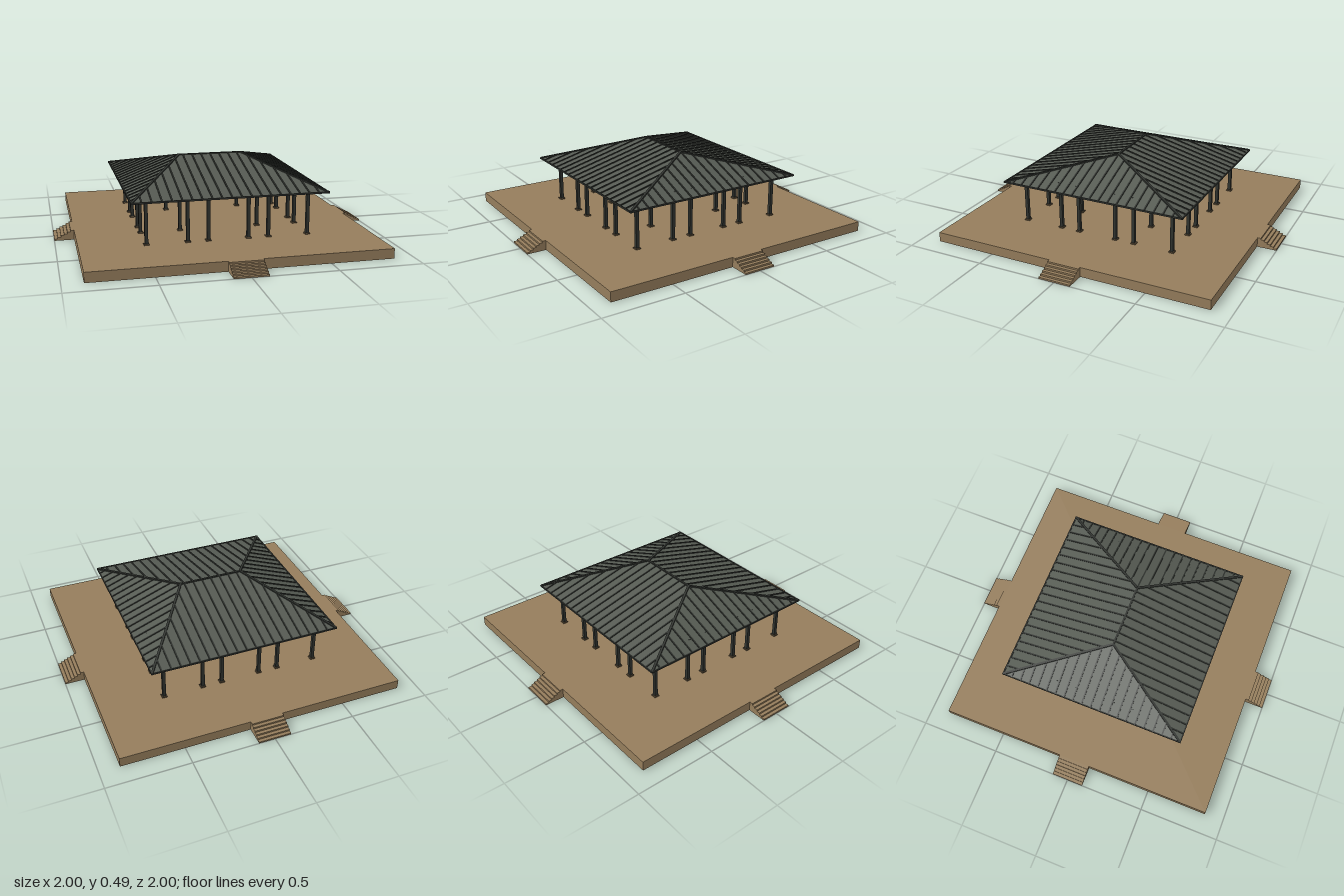
import * as THREE from 'three';

const EAVE = 0.585, EAVE_Y = 0.335, RIDGE = 0.2, RIDGE_Y = 0.483, DECK = 0.06;
const GRID = [-0.49, -0.245, -0.122, 0.122, 0.245, 0.49];

export function createModel() {
  const model = new THREE.Group();
  const mat = (name, color) => Object.assign(new THREE.MeshStandardMaterial({ color }), { name });
  const earth = mat('sandBrown', 0x957d5c);
  const panel = mat('roofGrey', 0x555a52);
  const trim = mat('darkTrim', 0x30332f);
  const footing = mat('footingBrown', 0x5e4f3a);
  panel.side = THREE.DoubleSide;

  const box = (name, m, w, h, d, x, y, z, parent = model) => {
    const mesh = new THREE.Mesh(new THREE.BoxGeometry(w, h, d), m);
    mesh.position.set(x, y, z);
    mesh.name = name;
    parent.add(mesh);
    return mesh;
  };
  // square bar running between two points
  const bar = (name, m, a, b, w, h, parent) => {
    const p = new THREE.Vector3(...a), q = new THREE.Vector3(...b);
    const mesh = box(name, m, w, h, p.distanceTo(q), 0, 0, 0, parent);
    mesh.position.copy(p).add(q).multiplyScalar(0.5);
    mesh.lookAt(q);
  };

  // raised platform
  box('platform', earth, 1.76, DECK, 1.76, 0, DECK / 2, 0);

  // one stair on each side, extruded from a stepped profile
  const profile = new THREE.Shape();
  profile.moveTo(0.88, 0);
  profile.lineTo(0.88, DECK);
  for (let i = 0; i < 6; i++) {
    profile.lineTo(0.9 + i * 0.02, DECK - i * 0.01);
    profile.lineTo(0.9 + i * 0.02, DECK - (i + 1) * 0.01);
  }
  const stairGeo = new THREE.ExtrudeGeometry(profile, { depth: 0.2, bevelEnabled: false });
  stairGeo.translate(0, 0, -0.1);
  for (let i = 0; i < 4; i++) {
    const stair = new THREE.Mesh(stairGeo, earth);
    stair.rotation.y = i * Math.PI / 2;
    stair.name = 'stair';
    model.add(stair);
  }

  // posts around the edge and four inside, each on a small footing
  const posts = new THREE.Group();
  posts.name = 'posts';
  model.add(posts);
  for (const x of GRID) for (const z of GRID) {
    const edge = Math.max(Math.abs(x), Math.abs(z)) > 0.4;
    const inner = Math.abs(x) > 0.2 && Math.abs(z) > 0.2;
    if (!edge && !inner) continue;
    box('post', trim, 0.02, 0.26, 0.02, x, DECK + 0.13, z, posts);
    box('postFooting', footing, 0.032, 0.008, 0.032, x, DECK + 0.004, z, posts);
  }

  // perimeter beams and cross beams
  for (const s of [-1, 1]) {
    box('frontBeam', trim, 1, 0.024, 0.022, 0, 0.322, s * 0.49);
    box('sideBeam', trim, 0.022, 0.024, 1, s * 0.49, 0.322, 0);
  }
  for (const z of GRID.slice(1, 5)) box('crossBeam', trim, 1.02, 0.034, 0.02, 0, 0.348, z);

  // hipped roof planes
  const roof = new THREE.Group();
  roof.name = 'roof';
  model.add(roof);
  const plane = (name, pts) => {
    const g = new THREE.BufferGeometry();
    g.setAttribute('position', new THREE.Float32BufferAttribute(pts.flat(), 3));
    g.setIndex(pts.length === 4 ? [0, 1, 2, 0, 2, 3] : [0, 1, 2]);
    g.computeVertexNormals();
    const mesh = new THREE.Mesh(g, panel);
    mesh.name = name;
    roof.add(mesh);
  };
  for (const s of [-1, 1]) {
    const e = s * EAVE, r = s * RIDGE;
    plane('mainSlope', [[-e, EAVE_Y, e], [e, EAVE_Y, e], [r, RIDGE_Y, 0], [-r, RIDGE_Y, 0]]);
    plane('hipSlope', [[e, EAVE_Y, e], [e, EAVE_Y, -e], [r, RIDGE_Y, 0]]);
  }

  // standing seams, from the eave up to the hip or ridge
  const rise = RIDGE_Y - EAVE_Y, run = EAVE - RIDGE;
  for (let i = -9; i <= 9; i++) {
    const u = i * EAVE / 10, a = Math.abs(u);
    const zTop = a > RIDGE ? EAVE * (a - RIDGE) / run : 0;
    const yMain = EAVE_Y + rise * (1 - zTop / EAVE);
    const t = a / EAVE;
    for (const s of [-1, 1]) {
      bar('mainSeam', trim, [u, EAVE_Y, s * EAVE], [u, yMain, s * zTop], 0.009, 0.01, roof);
      bar('hipSeam', trim, [s * EAVE, EAVE_Y, u],
        [s * (RIDGE + run * t), EAVE_Y + rise * (1 - t), u], 0.009, 0.01, roof);
    }
  }

  // ridge cap, hip caps and eave trim
  bar('ridgeCap', trim, [-RIDGE, RIDGE_Y, 0], [RIDGE, RIDGE_Y, 0], 0.012, 0.01, roof);
  for (const s of [-1, 1]) {
    for (const t of [-1, 1]) {
      bar('hipCap', trim, [s * EAVE, EAVE_Y, t * EAVE], [s * RIDGE, RIDGE_Y, 0], 0.014, 0.012, roof);
    }
    box('eaveTrim', trim, EAVE * 2 + 0.008, 0.01, 0.008, 0, EAVE_Y, s * EAVE, roof);
    box('eaveTrim', trim, 0.008, 0.01, EAVE * 2 + 0.008, s * EAVE, EAVE_Y, 0, roof);
  }
  return model;
}
